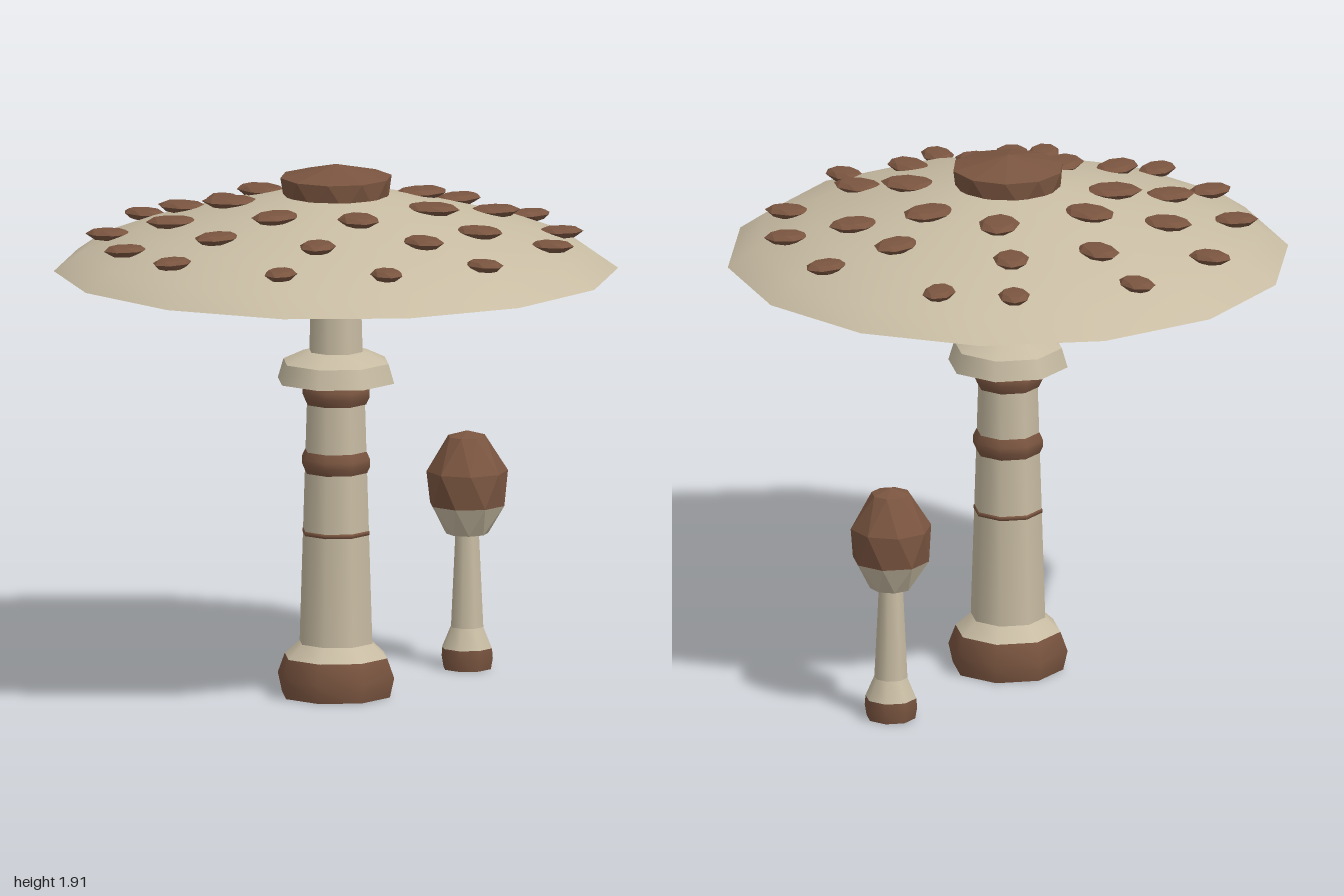
import * as THREE from 'three';

const cream = new THREE.MeshStandardMaterial({ color: 0xc8bca3 });
cream.name = 'cream';
const brown = new THREE.MeshStandardMaterial({ color: 0x7a5540 });
brown.name = 'brown';

// Lathe from [radius, y] points running outward along the bottom, then up
function turned(points, sides) {
  const pts = points.map(([r, y]) => new THREE.Vector2(r, y));
  return new THREE.LatheGeometry(pts, sides, Math.PI / 2);
}

// Faceted lathe whose rings are each turned by half a side from the one below
function faceted(points, sides, startRing = 0) {
  const g = turned(points, sides);
  const p = g.attributes.position;
  const v = new THREE.Vector3();
  const up = new THREE.Vector3(0, 1, 0);
  for (let i = 0; i < p.count; i++) {
    const ring = startRing + (i % points.length);
    v.fromBufferAttribute(p, i).applyAxisAngle(up, (ring * Math.PI) / sides);
    p.setXYZ(i, v.x, v.y, v.z);
  }
  const flat = g.toNonIndexed();
  flat.computeVertexNormals();
  return flat;
}

function add(parent, name, geometry, material) {
  const mesh = new THREE.Mesh(geometry, material);
  mesh.name = name;
  parent.add(mesh);
  return mesh;
}

function largeMushroom() {
  const g = new THREE.Group();
  g.name = 'largeMushroom';

  // Bulbous foot and tapering stem
  add(g, 'footBottom', turned([[0, 0], [0.2, 0]], 8), brown);
  add(g, 'foot', turned([[0.2, 0], [0.216, 0.07], [0.19, 0.14]], 8), brown);
  add(g, 'stemFlare', turned([[0.19, 0.14], [0.135, 0.19]], 8), cream);
  add(g, 'stem', turned([[0.135, 0.19], [0.105, 1.14]], 8), cream);
  add(g, 'upperStem', turned([[0.1, 1.2], [0.09, 1.54]], 8), cream);

  // Bulging bands round the stem
  for (const [y0, y1, r] of [[0.57, 0.605, 0.125], [0.8, 0.88, 0.127], [1.05, 1.13, 0.125]]) {
    const profile = [[r - 0.013, y0], [r, y0 + (y1 - y0) * 0.35], [r, y0 + (y1 - y0) * 0.65], [r - 0.013, y1]];
    add(g, 'stemBand', turned(profile, 8), brown);
  }

  // Skirt under the cap
  add(g, 'skirtUnderside', turned([[0.09, 1.13], [0.216, 1.13]], 8), cream);
  add(g, 'skirt', turned([[0.216, 1.13], [0.195, 1.2]], 8), cream);
  add(g, 'skirtTop', turned([[0.195, 1.2], [0.12, 1.235], [0.09, 1.24]], 8), cream);

  // Wide shallow cap
  add(g, 'capUnderside', turned([[0, 1.53], [1, 1.53]], 14), cream);
  add(g, 'cap', turned([[1, 1.53], [0.9, 1.6], [0.7, 1.675], [0.45, 1.742], [0.2, 1.8], [0, 1.82]], 14), cream);
  add(g, 'capKnob', faceted([[0.185, 1.77], [0.2, 1.865], [0, 1.91]], 10), brown);

  // Rings of flat oval warts, long axis pointing outward
  const warts = [
    { y: 1.77, length: 0.105, width: 0.075, at: [[-0.115, -0.35], [0.225, -0.29], [0.36, -0.04], [0.245, 0.265],
      [-0.09, 0.345], [-0.325, 0.16], [-0.32, -0.19]] },
    { y: 1.715, length: 0.095, width: 0.066, at: [[0, -0.59], [0.31, -0.5], [0.565, -0.145], [0.565, 0.13], [0.32, 0.48],
      [0.05, 0.57], [-0.325, 0.48], [-0.56, 0.16], [-0.55, -0.2], [-0.375, -0.455]] },
    { y: 1.652, length: 0.082, width: 0.058, at: [[-0.02, -0.81], [0.42, -0.69], [0.62, -0.51], [0.8, -0.05], [0.74, 0.3],
      [0.58, 0.54], [0.19, 0.77], [-0.2, 0.77], [-0.53, 0.59], [-0.77, 0.22], [-0.8, -0.08], [-0.7, -0.4], [-0.4, -0.7]] },
  ];
  const wart = faceted([[0, -0.02], [0.65, -0.018], [1, 0.002], [0.72, 0.016], [0, 0.019]], 7);
  for (const { y, length, width, at } of warts) {
    for (const [x, z] of at) {
      const m = add(g, 'wart', wart, brown);
      m.position.set(x, y, z);
      m.scale.set(length, 1, width);
      m.rotation.y = Math.atan2(-z, x);
    }
  }
  return g;
}

function smallMushroom() {
  const g = new THREE.Group();
  g.name = 'smallMushroom';
  // Foot and stem
  add(g, 'smallFootBottom', turned([[0, 0], [0.088, 0]], 8), brown);
  add(g, 'smallFoot', turned([[0.088, 0], [0.095, 0.04], [0.092, 0.075]], 8), brown);
  add(g, 'smallStemFlare', turned([[0.092, 0.075], [0.06, 0.15]], 8), cream);
  add(g, 'smallStem', turned([[0.06, 0.15], [0.043, 0.5]], 8), cream);
  // Closed egg-shaped cap, pale below
  add(g, 'smallCapCup', faceted([[0, 0.475], [0.075, 0.485], [0.138, 0.59]], 8), cream);
  add(g, 'smallCap', faceted([[0.138, 0.59], [0.145, 0.71], [0.07, 0.835], [0, 0.855]], 8, 2), brown);
  g.position.set(0.655, 0, -0.25);
  return g;
}

export function createModel() {
  const model = new THREE.Group();
  model.name = 'mushrooms';
  model.add(largeMushroom(), smallMushroom());
  return model;
}
